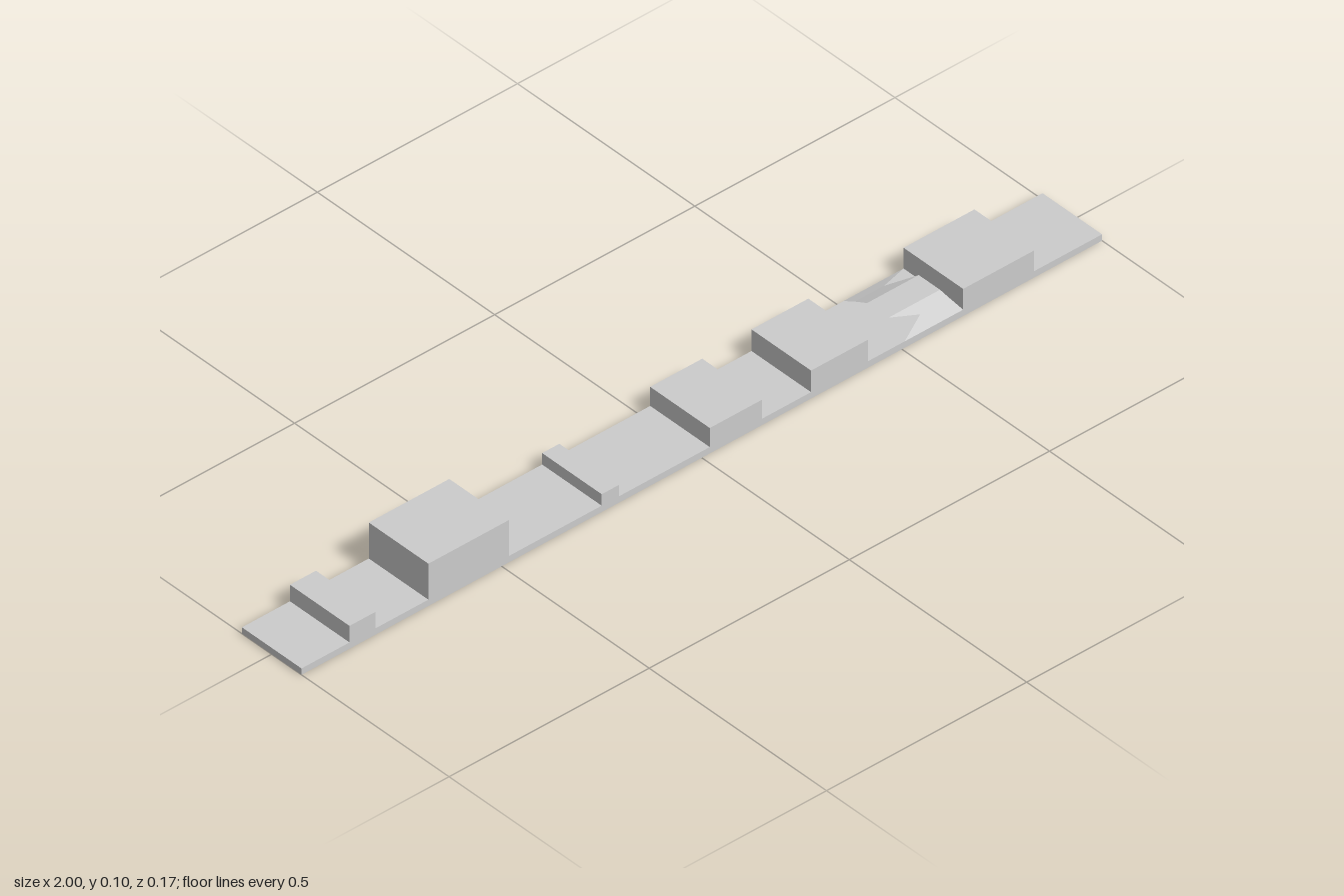
import * as THREE from 'three';

const HALF_WIDTH = 0.084;
const BASE_TOP = 0.015;

export function createModel() {
  const group = new THREE.Group();
  const grey = new THREE.MeshStandardMaterial({ color: 0xcccccc, flatShading: true });
  const sheet = new THREE.MeshStandardMaterial({ color: 0xcccccc, flatShading: true, side: THREE.DoubleSide });

  const addBox = (name, x0, x1, y0, y1) => {
    const mesh = new THREE.Mesh(new THREE.BoxGeometry(x1 - x0, y1 - y0, HALF_WIDTH * 2), grey);
    mesh.position.set((x0 + x1) / 2, (y0 + y1) / 2, 0);
    mesh.name = name;
    group.add(mesh);
  };

  // Long ground strip
  addBox('baseStrip', -1, 1, 0, BASE_TOP);

  // Full-width blocks: [left x, right x, top y]
  const blocks = [
    [-0.88, -0.815, 0.054],
    [-0.683, -0.482, 0.1],
    [-0.25, -0.207, 0.042],
    [0.02, 0.15, 0.06],
    [0.273, 0.415, 0.066],
    [0.653, 0.83, 0.064],
  ];
  blocks.forEach(([x0, x1, top], i) => addBox(`block${i + 1}`, x0, x1, BASE_TOP, top));

  // Low open hump with notched ends, lofted from rows: [z, y, left x, right x]
  const rows = [
    [-HALF_WIDTH, BASE_TOP, 0.503, 0.653],
    [-0.06, 0.024, 0.51, 0.583],
    [-0.03, 0.036, 0.514, 0.643],
    [0.03, 0.036, 0.514, 0.643],
    [0.053, 0.027, 0.573, 0.647],
    [HALF_WIDTH, BASE_TOP, 0.507, 0.653],
  ];
  const points = [];
  const index = [];
  rows.forEach(([z, y, x0, x1], i) => {
    points.push(x0, y, z, x1, y, z);
    if (i > 0) {
      const a = (i - 1) * 2;
      index.push(a, a + 2, a + 1, a + 1, a + 2, a + 3);
    }
  });
  const geometry = new THREE.BufferGeometry();
  geometry.setAttribute('position', new THREE.Float32BufferAttribute(points, 3));
  geometry.setIndex(index);
  geometry.computeVertexNormals();
  const hump = new THREE.Mesh(geometry, sheet);
  hump.name = 'notchedHump';
  group.add(hump);

  return group;
}
